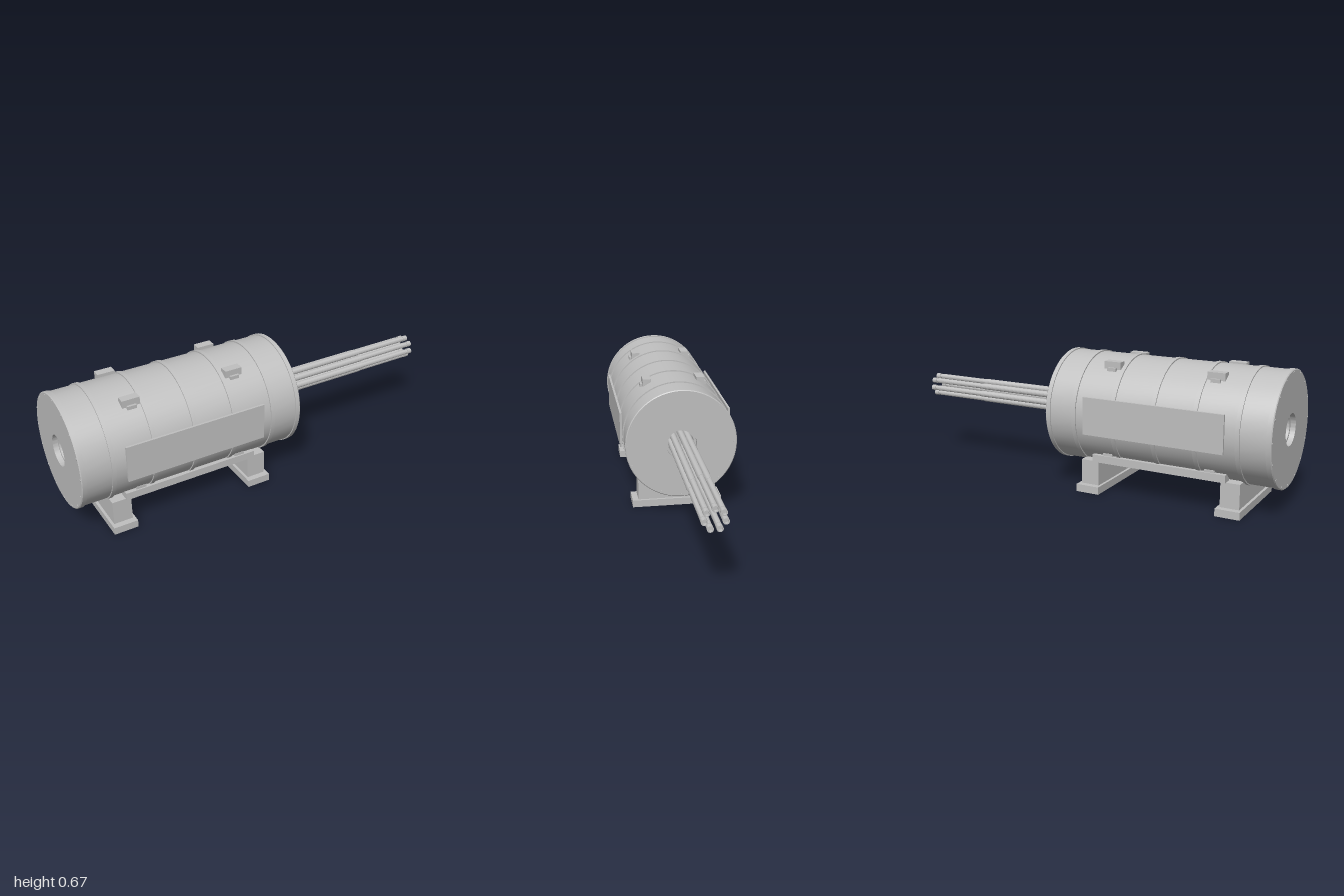
import * as THREE from 'three';
import { toCreasedNormals } from 'three/addons/utils/BufferGeometryUtils.js';

const CY = 0.387; // height of the drum axis

export function createModel() {
  const model = new THREE.Group();
  const grey = new THREE.MeshStandardMaterial({ color: 0xc0c0c0 });
  grey.name = 'light grey';

  const add = (name, geometry) => {
    const mesh = new THREE.Mesh(geometry, grey);
    mesh.name = name;
    model.add(mesh);
    return mesh;
  };
  const box = (name, x0, x1, y0, y1, z0, z1) =>
    add(name, new THREE.BoxGeometry(x1 - x0, y1 - y0, z1 - z0))
      .position.set((x0 + x1) / 2, (y0 + y1) / 2, (z0 + z1) / 2);
  // Turns a profile of [x, radius] pairs about the x axis
  const turned = (name, profile, sides, y = CY, z = 0) => {
    const points = profile.map(([x, r]) => new THREE.Vector2(r, x));
    const geometry = new THREE.LatheGeometry(points, sides);
    geometry.rotateZ(-Math.PI / 2);
    add(name, toCreasedNormals(geometry, 0.6)).position.set(0, y, z);
  };

  // Drum with end flanges, ribs and a stepped recess in each end
  const R = 0.272;
  const drum = [[-0.92, 0], [-0.92, 0.064], [-0.975, 0.064], [-0.975, 0.076], [-1, 0.076],
    [-1, 0.273], [-0.996, 0.277], [-0.975, 0.277], [-0.975, R]];
  for (const x of [-0.845, -0.64, -0.435, -0.23, -0.025]) {
    drum.push([x - 0.01, R], [x - 0.01, 0.278], [x + 0.01, 0.278], [x + 0.01, R]);
  }
  drum.push([0.105, R], [0.105, 0.277], [0.126, 0.277], [0.13, 0.273],
    [0.13, 0.076], [0.105, 0.076], [0.105, 0.064], [0.05, 0.064], [0.05, 0]);
  turned('drum', drum, 72);

  // Bolts round both end faces
  for (let i = 0; i < 16; i++) {
    const a = (i / 16) * Math.PI * 2;
    const y = CY + 0.264 * Math.cos(a), z = 0.264 * Math.sin(a);
    for (const x of [-1, 0.13]) {
      const bolt = add('endBolt', new THREE.CylinderGeometry(0.005, 0.005, 0.005, 8));
      bolt.rotation.z = Math.PI / 2;
      bolt.position.set(x + Math.sign(x) * -0.0005 * (x < 0 ? 1 : -1), y, z);
    }
  }

  // Seven hollow rods in a ring, stepped down towards the tip
  const rod = [[0.05, 0], [0.05, 0.0155], [0.67, 0.0155], [0.67, 0.0135], [0.965, 0.0135],
    [0.965, 0.0115], [0.975, 0.0115], [0.975, 0.0145], [1, 0.0145], [1, 0.0105], [0.985, 0.0105], [0.985, 0]];
  for (let i = 0; i < 7; i++) {
    const a = (i / 7) * Math.PI * 2;
    turned('rod', rod, 20, CY + 0.046 * Math.cos(a), 0.046 * Math.sin(a));
  }

  // Parts mirrored front to back
  for (const s of [1, -1]) {
    const side = (name, x0, x1, y0, y1, z0, z1) =>
      box(name, x0, x1, y0, y1, s > 0 ? z0 : -z1, s > 0 ? z1 : -z0);
    side('sidePlate', -0.785, -0.08, 0.31, 0.492, 0.272, 0.283);
    side('rail', -0.775, -0.095, 0.158, 0.195, 0.16, 0.214);
    for (const x of [-0.695, -0.173]) {
      side('liftingLug', x - 0.043, x + 0.043, 0.612, 0.648, 0.116, 0.158);
      side('lugTab', x - 0.023, x + 0.023, 0.603, 0.62, 0.14, 0.17);
      side('railTab', x - 0.025, x + 0.025, 0.19, 0.208, 0.18, 0.207);
    }
  }

  // Two feet
  for (const x of [-0.795, -0.075]) {
    box('footBase', x - 0.06, x + 0.06, 0, 0.037, -0.23, 0.23);
    box('footColumn', x - 0.047, x + 0.047, 0.037, 0.158, -0.2, 0.2);
  }
  return model;
}
